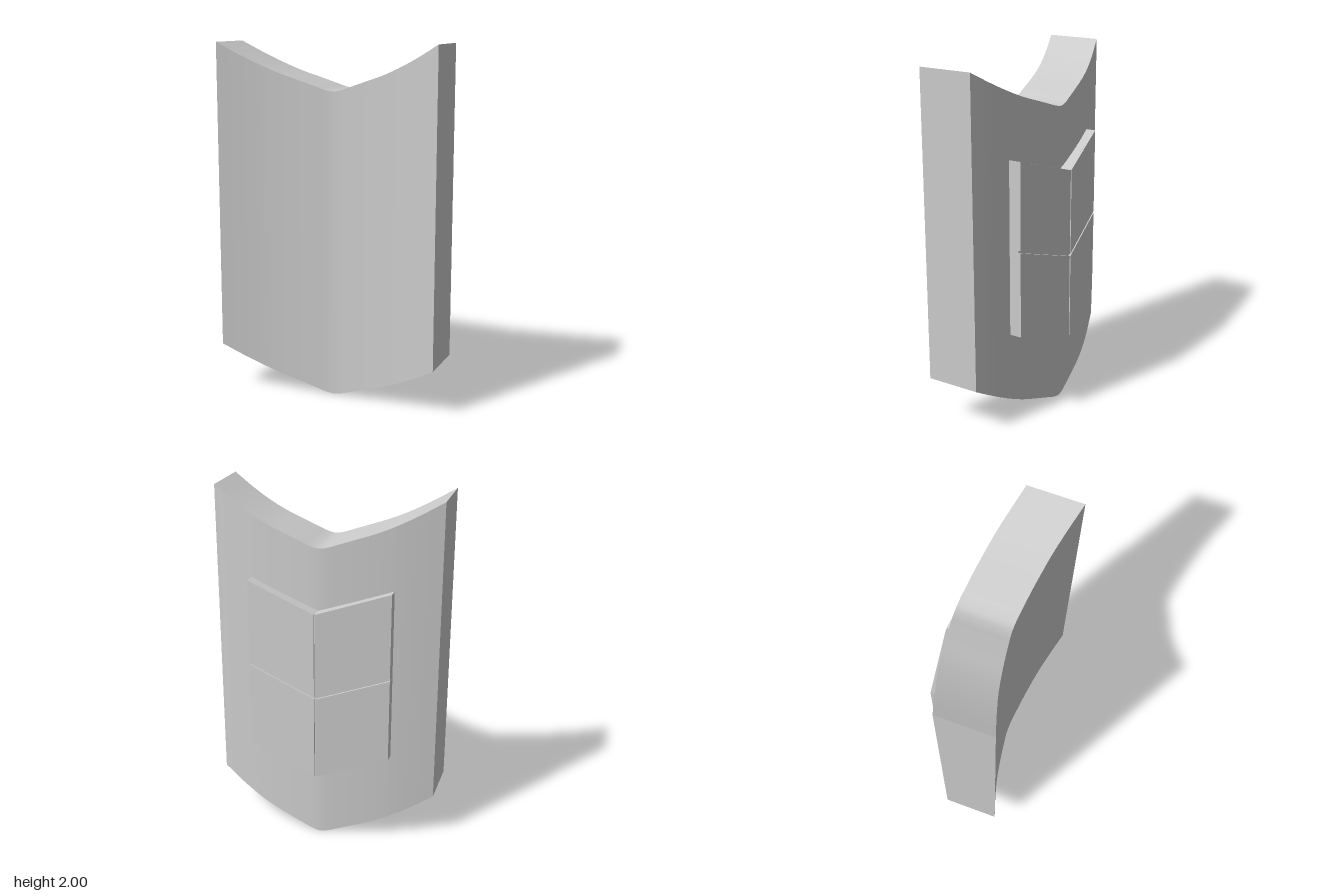
import * as THREE from 'three';
import { toCreasedNormals } from 'three/addons/utils/BufferGeometryUtils.js';

// Sweeps a rectangular section (height in y, depth in z) along a path that runs towards +x.
// Path points mark the lower back corner of the section.
function sweepSlab(path, height, depth) {
  const positions = [];
  const index = [];
  for (const p of path) {
    positions.push(
      p.x, p.y, p.z,
      p.x, p.y, p.z + depth,
      p.x, p.y + height, p.z + depth,
      p.x, p.y + height, p.z
    );
  }
  for (let i = 0; i < path.length - 1; i++) {
    for (let k = 0; k < 4; k++) {
      const a = i * 4 + k;
      const b = i * 4 + ((k + 1) % 4);
      index.push(a, a + 4, b + 4, a, b + 4, b);
    }
  }
  const e = (path.length - 1) * 4;
  index.push(0, 1, 2, 0, 2, 3, e + 3, e + 2, e + 1, e + 3, e + 1, e);
  const geometry = new THREE.BufferGeometry();
  geometry.setAttribute('position', new THREE.Float32BufferAttribute(positions, 3));
  geometry.setIndex(index);
  return toCreasedNormals(geometry, 0.2);
}

export function createModel() {
  const group = new THREE.Group();
  const material = new THREE.MeshStandardMaterial({ color: 0xcccccc });
  const add = (name, path, height, depth) => {
    const mesh = new THREE.Mesh(sweepSlab(path, height, depth), material);
    mesh.name = name;
    group.add(mesh);
  };
  const v = (x, y, z) => new THREE.Vector3(x, y, z);

  // Curved shield body: x, rise and forward sweep of one half, mirrored
  const half = [
    [0.05, 0.009, 0.003], [0.1, 0.026, 0.01], [0.2, 0.06, 0.025],
    [0.3, 0.094, 0.043], [0.4, 0.136, 0.065], [0.52, 0.196, 0.1], [0.64, 0.264, 0.14],
  ];
  const points = [
    ...half.map(([x, y, z]) => v(-x, y, z - 0.19)).reverse(),
    v(0, 0, -0.19),
    ...half.map(([x, y, z]) => v(x, y, z - 0.19)),
  ];
  add('shieldBody', new THREE.CatmullRomCurve3(points).getPoints(56), 1.736, 0.31);

  // Chevron backing, partly sunk into the body
  const chevron = (y, z) => [
    v(-0.4, y + 0.13, z + 0.078), v(0.005, y, z), v(0.41, y + 0.13, z + 0.07),
  ];
  add('padBacking', chevron(0.402, -0.248), 0.986, 0.06);

  // Two rows of paired pads with a narrow groove between the rows
  const gap = 0.012;
  const padHeight = (0.986 - gap) / 2;
  for (const [name, y] of [['lower', 0.402], ['upper', 0.402 + padHeight + gap]]) {
    const [right, middle, left] = chevron(y, -0.261);
    const inset = 0.004;
    add(name + 'RightPad', [right, v(middle.x - inset, middle.y + 0.001, middle.z + 0.001)], padHeight, 0.02);
    add(name + 'LeftPad', [v(middle.x + inset, middle.y + 0.001, middle.z + 0.001), left], padHeight, 0.02);
  }
  return group;
}
